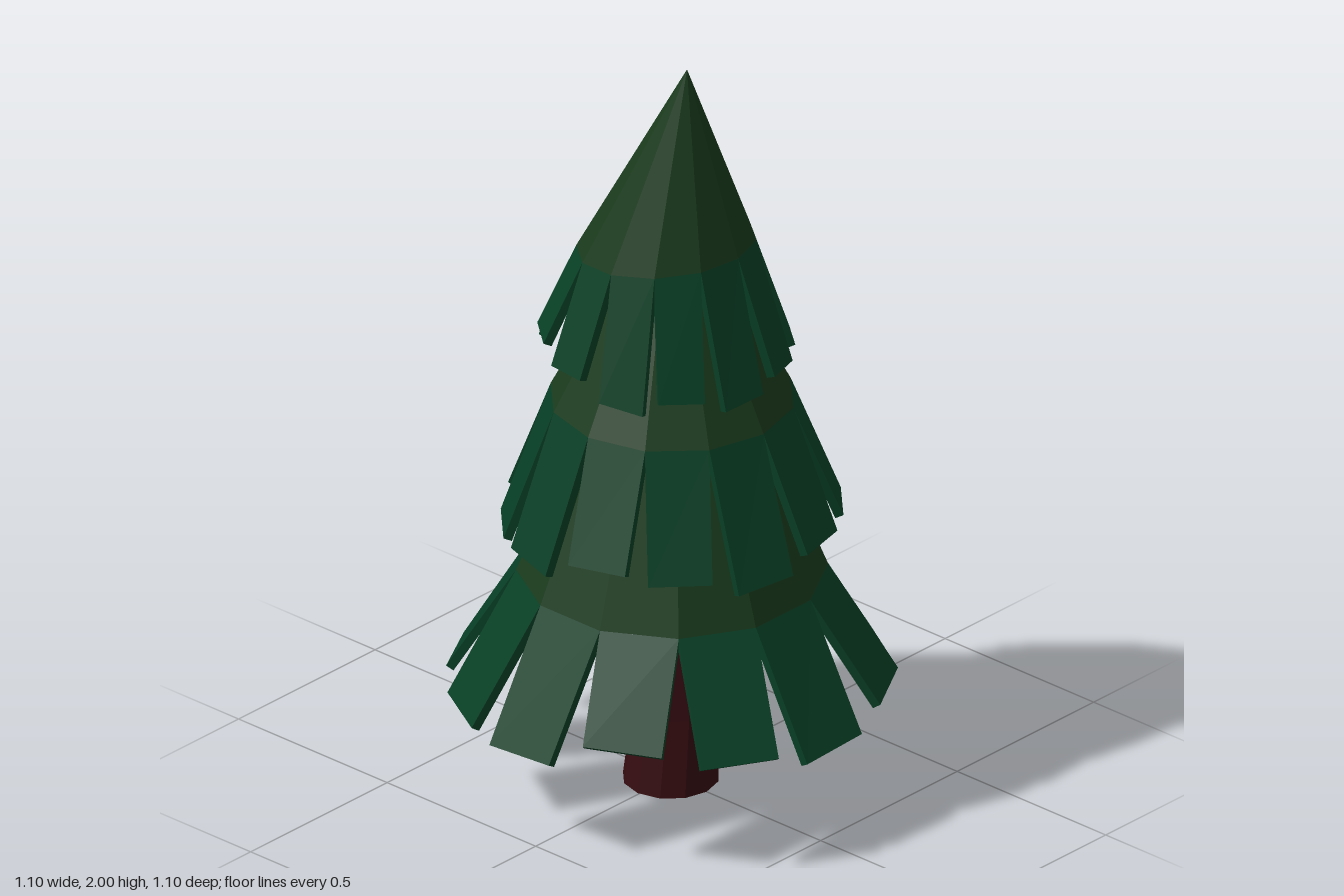
import * as THREE from 'three';

const SIDES = 12;
const STEP = (Math.PI * 2) / SIDES;

// small seeded wobble in -1..1
let seed = 7;
function wobble() {
  seed = (seed * 16807) % 2147483647;
  return (seed / 2147483647) * 2 - 1;
}

// lift or lower the rim vertices along x, so a tier sits slightly askew
function tiltRim(geo, rimY, amount) {
  const p = geo.attributes.position;
  for (let i = 0; i < p.count; i++) {
    if (Math.abs(p.getY(i) - rimY) < 0.05) p.setY(i, p.getY(i) + amount * p.getX(i));
  }
}

// one hanging flap: a box bent from the cone rim outwards and down
function flapGeometry(t, tipY, angle) {
  const width = 2 * t.rim * Math.sin(STEP / 2);
  const topZ = t.rim * Math.cos(STEP / 2);
  const sway = wobble() * 0.01;
  const roll = wobble() * 0.008; // slanted lower edge
  const slope = new THREE.Vector2(t.reach - topZ, tipY - t.rimY).normalize();
  const thick = 0.022;
  const geo = new THREE.BoxGeometry(2, 2, 2);
  const p = geo.attributes.position;
  for (let i = 0; i < p.count; i++) {
    const sx = p.getX(i);
    const low = p.getY(i) < 0;
    const inset = p.getZ(i) < 0 ? thick : 0;
    p.setXYZ(
      i,
      (sx * width) / 2 + (low ? sway : 0),
      (low ? tipY + sx * roll : t.rimY) - inset * slope.x,
      (low ? t.reach : topZ) + inset * slope.y
    );
  }
  geo.rotateY(angle);
  tiltRim(geo, t.rimY, t.tilt);
  geo.computeVertexNormals();
  return geo;
}

export function createModel() {
  const tree = new THREE.Group();
  tree.name = 'pineTree';
  const coneMat = new THREE.MeshStandardMaterial({ color: 0x193a1c, flatShading: true, side: THREE.DoubleSide });
  const flapMat = new THREE.MeshStandardMaterial({ color: 0x083f25, flatShading: true });
  const barkMat = new THREE.MeshStandardMaterial({ color: 0x350c10, flatShading: true });

  // tapered, slightly bent trunk: [y, radius, centre x, centre z]
  const rings = [
    [0, 0.121, -0.005, 0],
    [0.2, 0.108, -0.005, -0.02],
    [0.45, 0.085, 0, -0.015],
    [1.05, 0.035, 0, 0],
  ];
  const trunkGeo = new THREE.CylinderGeometry(1, 1, 3, SIDES, 3);
  const tp = trunkGeo.attributes.position;
  for (let i = 0; i < tp.count; i++) {
    const [y, r, cx, cz] = rings[Math.round(tp.getY(i) + 1.5)];
    tp.setXYZ(i, tp.getX(i) * r + cx, y, tp.getZ(i) * r + cz);
  }
  trunkGeo.computeVertexNormals();
  const trunk = new THREE.Mesh(trunkGeo, barkMat);
  trunk.name = 'trunk';
  tree.add(trunk);

  // three tiers: an open cone with a fringe of flaps; tips run from the front towards +x
  const tiers = [
    {
      name: 'lowerTier', rim: 0.387, rimY: 0.59, apexY: 1.55, apexX: 0, reach: 0.55, turn: 0, x: 0, tilt: 0,
      tips: [0.27, 0.35, 0.31, 0.275, 0.315, 0.28, 0.31, 0.29, 0.3, 0.31, 0.3, 0.27],
    },
    {
      name: 'middleTier', rim: 0.308, rimY: 1.07, apexY: 1.66, apexX: 0, reach: 0.422, turn: 0.5, x: 0, tilt: 0,
      tips: [0.775, 0.755, 0.72, 0.76, 0.76, 0.72, 0.74, 0.74, 0.75, 0.76, 0.72, 0.72],
    },
    {
      name: 'upperTier', rim: 0.225, rimY: 1.49, apexY: 2, apexX: 0.07, reach: 0.315, turn: 0.67, x: -0.02, tilt: 0.12,
      tips: [1.175, 1.2, 1.17, 1.2, 1.21, 1.22, 1.2, 1.19, 1.2, 1.2, 1.26, 1.225],
    },
  ];
  for (const t of tiers) {
    const tier = new THREE.Group();
    tier.name = t.name;
    tier.position.x = t.x;

    const height = t.apexY - t.rimY;
    const coneGeo = new THREE.ConeGeometry(t.rim, height, SIDES, 1, true);
    coneGeo.translate(0, height / 2 + t.rimY, 0);
    coneGeo.rotateY((t.turn + 0.5) * STEP);
    const cp = coneGeo.attributes.position;
    for (let i = 0; i < cp.count; i++) {
      cp.setX(i, cp.getX(i) + (t.apexX * (cp.getY(i) - t.rimY)) / height); // leaning tip
    }
    tiltRim(coneGeo, t.rimY, t.tilt);
    const cone = new THREE.Mesh(coneGeo, coneMat);
    cone.name = 'foliageCone';
    tier.add(cone);

    t.tips.forEach((tipY, k) => {
      const flap = new THREE.Mesh(flapGeometry(t, tipY, (k + t.turn) * STEP), flapMat);
      flap.name = 'branchFlap';
      tier.add(flap);
    });
    tree.add(tier);
  }
  return tree;
}
